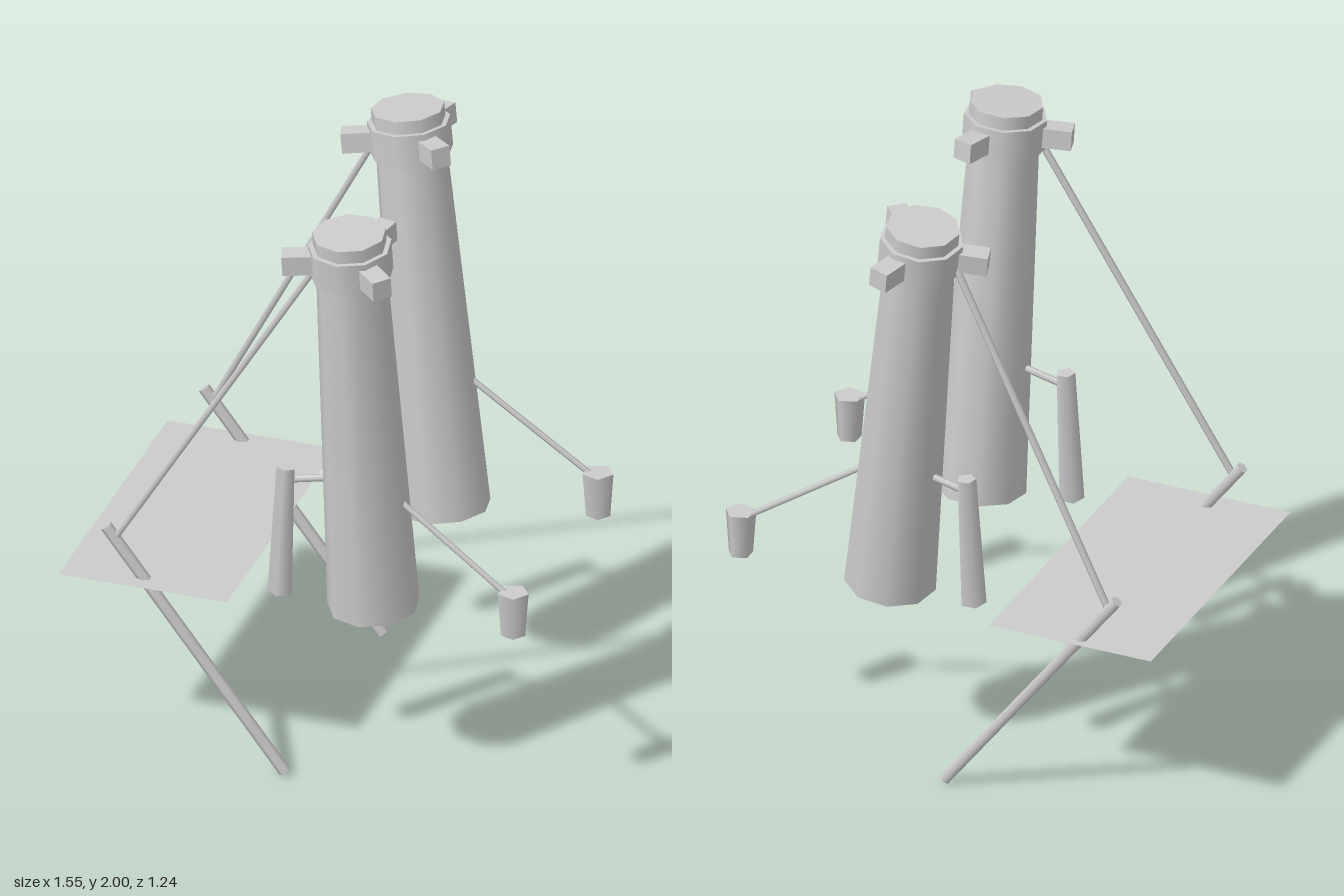
import * as THREE from 'three';

const grey = new THREE.MeshStandardMaterial({ color: 0xcccccc });
const sheet = new THREE.MeshStandardMaterial({ color: 0xcccccc, side: THREE.DoubleSide });
const UP = new THREE.Vector3(0, 1, 0);

function add(parent, name, geometry, material = grey) {
  const mesh = new THREE.Mesh(geometry, material);
  mesh.name = name;
  parent.add(mesh);
  return mesh;
}

// Straight, optionally tapered rod between two points
function rod(parent, name, from, to, r0, r1 = r0, sides = 6) {
  const a = new THREE.Vector3(...from), b = new THREE.Vector3(...to);
  const dir = b.clone().sub(a);
  const mesh = add(parent, name, new THREE.CylinderGeometry(r1, r0, dir.length(), sides));
  mesh.position.copy(a).add(b).multiplyScalar(0.5);
  mesh.quaternion.setFromUnitVectors(UP, dir.normalize());
  return mesh;
}

// Upright cylinder section between two heights
function section(parent, name, y0, y1, r0, r1 = r0) {
  add(parent, name, new THREE.CylinderGeometry(r1, r0, y1 - y0, 9)).position.y = (y0 + y1) / 2;
}

// Leaning tapered column with collar, cap and three lugs
function column(base, top) {
  const g = new THREE.Group();
  g.name = 'column';
  const a = new THREE.Vector3(...base);
  const dir = new THREE.Vector3(...top).sub(a);
  const L = dir.length();
  g.position.copy(a);
  g.quaternion.setFromUnitVectors(UP, dir.normalize());
  section(g, 'columnShaft', 0, L - 0.12, 0.15, 0.115);
  section(g, 'collarLip', L - 0.165, L - 0.14, 0.124);
  section(g, 'collar', L - 0.15, L - 0.045, 0.136);
  section(g, 'columnCap', L - 0.06, L, 0.12);
  for (let i = 0; i < 3; i++) {
    const t = THREE.MathUtils.degToRad(-76 + i * 120);
    const lug = add(g, 'lug', new THREE.BoxGeometry(0.13, 0.068, 0.066));
    lug.position.set(Math.cos(t) * 0.155, L - 0.1, Math.sin(t) * 0.155);
    lug.rotation.y = -t;
  }
  return g;
}

export function createModel() {
  const model = new THREE.Group();
  model.name = 'twinColumnRig';

  const sides = [
    { base: [0.22, 0.605, 0.375], top: [0.163, 1.988, 0.45], pole: 0.505,
      tie: [0.06, 1.86, 0.475], post: [0.406, 0.402], arm: 0.41, cup: 0.455 },
    { base: [0.225, 0.605, -0.31], top: [0.068, 1.985, -0.403], pole: -0.46,
      tie: [-0.035, 1.86, -0.385], post: [-0.348, -0.362], arm: -0.384, cup: -0.382 },
  ];

  for (const s of sides) {
    model.add(column(s.base, s.top));

    // Slanted pole and the tie running up to the column
    rod(model, 'pole', [-0.035, 0.013, s.pole], [-0.64, 0.803, s.pole], 0.02);
    rod(model, 'tie', [-0.61, 0.765, s.pole], s.tie, 0.012);

    // Tapered hanging post with its short link
    const [z0, z1] = s.post;
    rod(model, 'post', [-0.083, 0.615, z0], [-0.065, 1.07, z1], 0.043, 0.032, 5);
    rod(model, 'postLink', [-0.06, 1.025, z1], [0.12, 1.065, z1], 0.012);

    // Outrigger arm carrying a five-sided cup
    rod(model, 'arm', [0.28, 1.05, s.arm], [0.7, 0.765, s.cup], 0.01);
    const cup = add(model, 'cup', new THREE.CylinderGeometry(0.052, 0.041, 0.153, 5));
    cup.position.set(0.72, 0.703, s.cup);
    cup.rotation.y = Math.PI / 2;
  }

  // Flat panel joining the two poles
  const panel = add(model, 'panel', new THREE.PlaneGeometry(0.57, 1.075), sheet);
  panel.rotation.x = -Math.PI / 2;
  panel.position.set(-0.493, 0.637, 0.035);

  return model;
}
